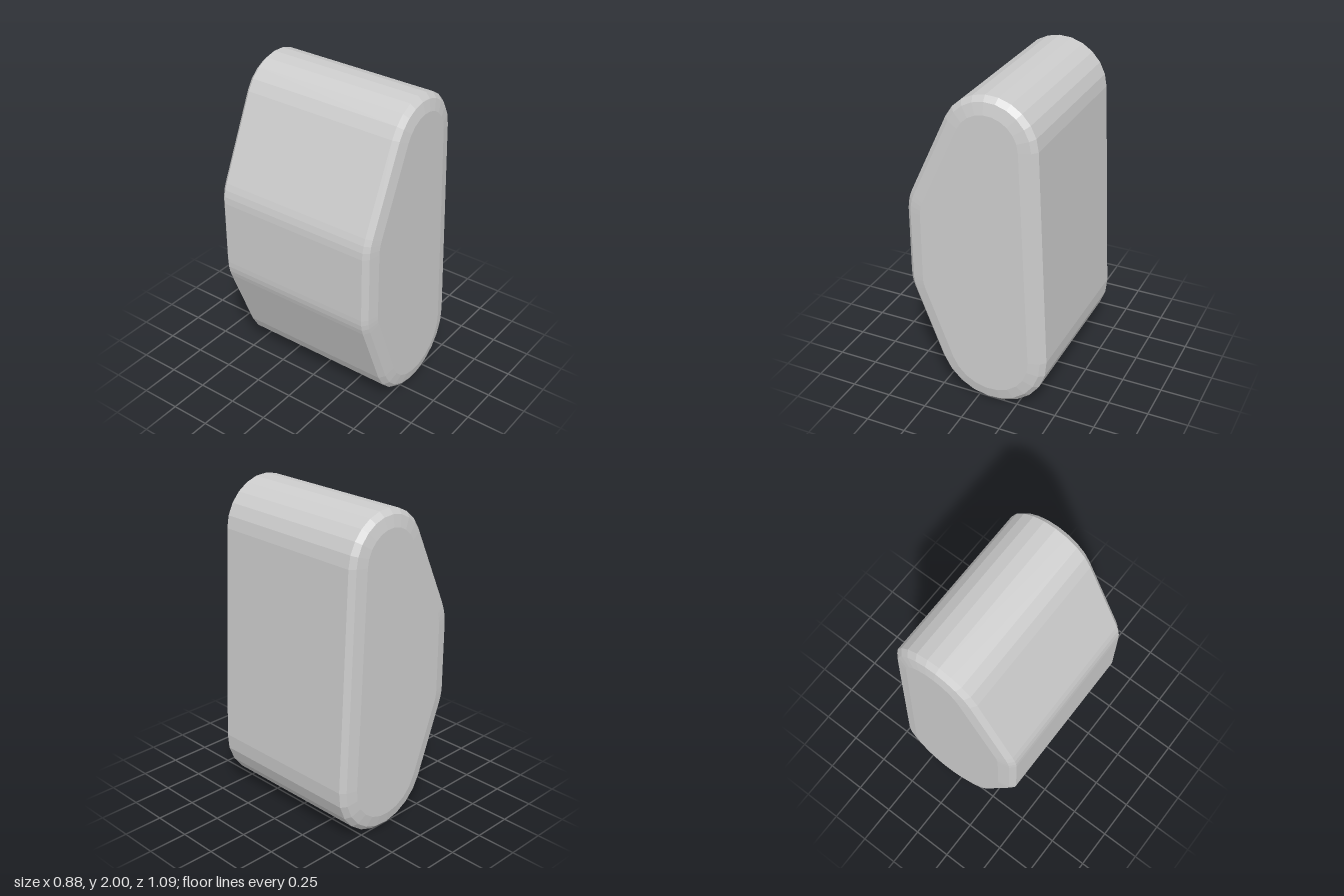
import * as THREE from 'three';

// Rounded corners of the outline: centre x, y, radius, start and end angle (degrees), segments
const CORNERS = [
  [0.085, 1.71, 0.29, 2.75, 155.2, 10],
  [-0.14, 1.2, 0.3, 155.2, 180, 3],
  [-0.14, 0.78, 0.3, 180, 201.3, 3],
  [0.085, 0.355, 0.355, 201.3, 362.75, 10],
];

// Edge sections from front to back: z and how far the outline is drawn in
const EDGE = [[0.547, 0.1], [0.531, 0.03], [0.5, 0]];
const SECTIONS = [...EDGE, ...EDGE.map(([z, inset]) => [-z, inset]).reverse()];

function outline(z, inset) {
  const points = [];
  for (const [cx, cy, r, from, to, segments] of CORNERS) {
    for (let i = 0; i <= segments; i++) {
      const a = THREE.MathUtils.degToRad(from + ((to - from) * i) / segments);
      points.push([cx + (r - inset) * Math.cos(a), cy + (r - inset) * Math.sin(a), z]);
    }
  }
  return points;
}

function bodyGeometry() {
  const rings = SECTIONS.map(([z, inset]) => outline(z, inset));
  const n = rings[0].length;
  const positions = rings.flat(2);
  const index = [];
  // Side wall and bevel bands
  for (let s = 0; s < rings.length - 1; s++) {
    for (let i = 0; i < n; i++) {
      const j = (i + 1) % n;
      const a = s * n + i, b = s * n + j, c = a + n, d = b + n;
      index.push(a, c, b, b, c, d);
    }
  }
  // Flat front and back faces
  const front = positions.length / 3;
  const zFace = SECTIONS[0][0];
  positions.push(0.02, 1, zFace, 0.02, 1, -zFace);
  const last = (rings.length - 1) * n;
  for (let i = 0; i < n; i++) {
    const j = (i + 1) % n;
    index.push(front, i, j, front + 1, last + j, last + i);
  }
  const indexed = new THREE.BufferGeometry();
  indexed.setAttribute('position', new THREE.Float32BufferAttribute(positions, 3));
  indexed.setIndex(index);
  const geometry = indexed.toNonIndexed();
  geometry.computeVertexNormals();
  return geometry;
}

export function createModel() {
  const group = new THREE.Group();
  group.name = 'roundedBlock';
  const material = new THREE.MeshStandardMaterial({ color: 0xcccccc, flatShading: true });
  const body = new THREE.Mesh(bodyGeometry(), material);
  body.name = 'body';
  group.add(body);
  return group;
}
